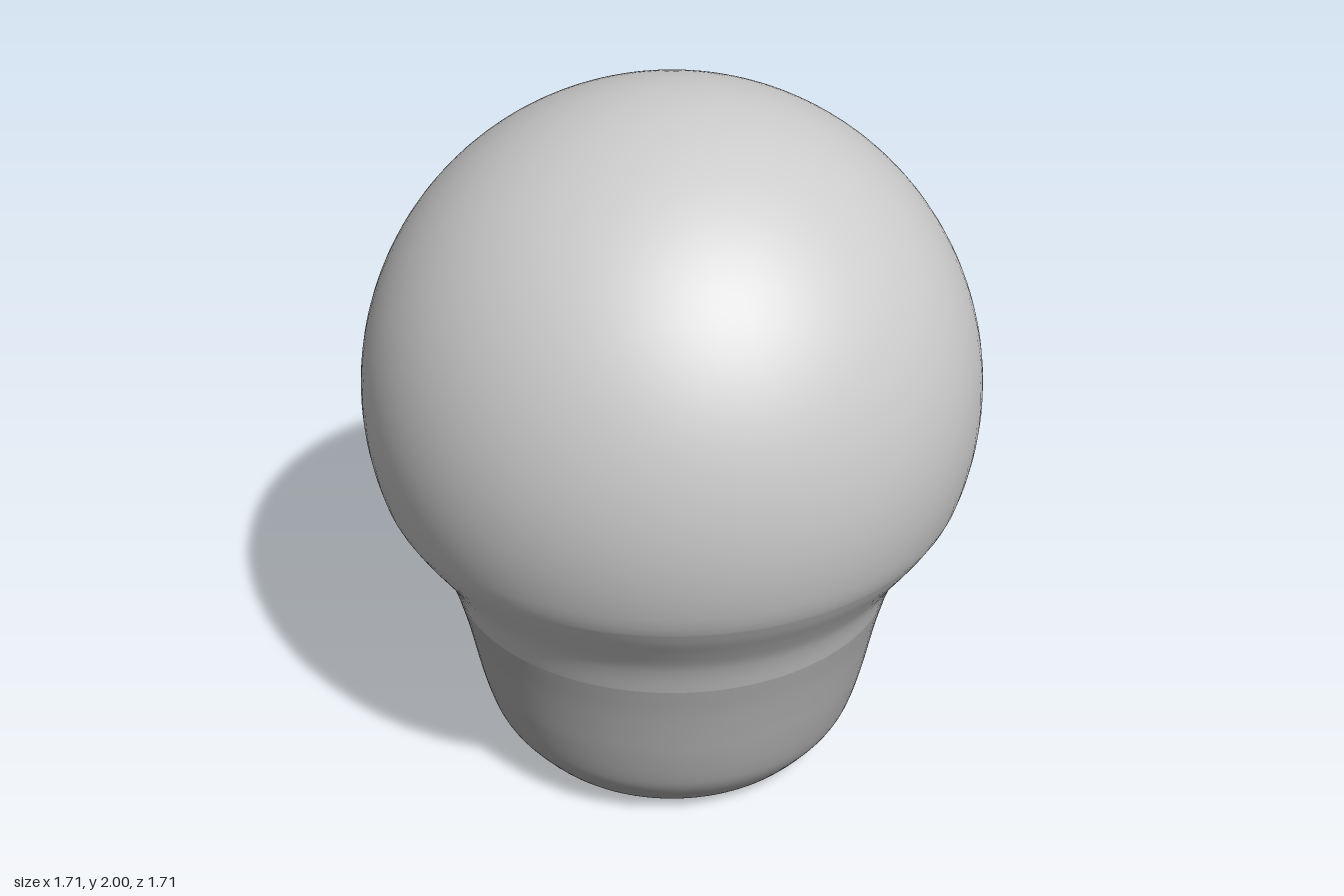
import * as THREE from 'three';

const SEGMENTS = 96;
const R = 0.853, CENTRE_Y = 1.147;

// Smooth curve through a few [radius, height] points
const smooth = (pts, n) =>
  new THREE.SplineCurve(pts.map(([r, y]) => new THREE.Vector2(r, y))).getPoints(n);

function lathe(name, profile, color) {
  const mesh = new THREE.Mesh(
    new THREE.LatheGeometry(profile, SEGMENTS),
    new THREE.MeshStandardMaterial({ color, side: THREE.DoubleSide })
  );
  mesh.name = name;
  return mesh;
}

export function createModel() {
  const group = new THREE.Group();
  group.name = 'bulb';

  // Globe: flared neck running into a round dome (profile goes bottom to top)
  const neck = smooth([[0.63, 0.55], [0.65, 0.61], [0.677, 0.67], [0.722, 0.74], [0.767, 0.805], [0.8, 0.86]], 20);
  const dome = [];
  const start = -Math.asin((CENTRE_Y - 0.89) / R);
  for (let i = 0; i <= 48; i++) {
    const a = THREE.MathUtils.lerp(start, Math.PI / 2, i / 48);
    dome.push(new THREE.Vector2(Math.max(0, R * Math.cos(a)), CENTRE_Y + R * Math.sin(a)));
  }
  group.add(lathe('globe', [...neck, ...dome], 0xcccccc));

  // Base: tapered socket that rolls under to the lip of the opening
  const base = smooth([
    [0.34, 0.03], [0.355, 0.008], [0.375, 0], [0.4, 0.008], [0.445, 0.035], [0.49, 0.085],
    [0.525, 0.135], [0.547, 0.19], [0.57, 0.28], [0.588, 0.37], [0.607, 0.46], [0.63, 0.55],
  ], 60);
  group.add(lathe('base', base, 0xb0b0b0));

  // Recess: wall and closed end inside the opening
  const recess = [
    new THREE.Vector2(0, 0.55),
    ...smooth([[0.28, 0.55], [0.315, 0.535], [0.33, 0.5], [0.332, 0.25], [0.335, 0.08], [0.34, 0.03]], 24),
  ];
  group.add(lathe('recess', recess, 0xb0b0b0));

  return group;
}
